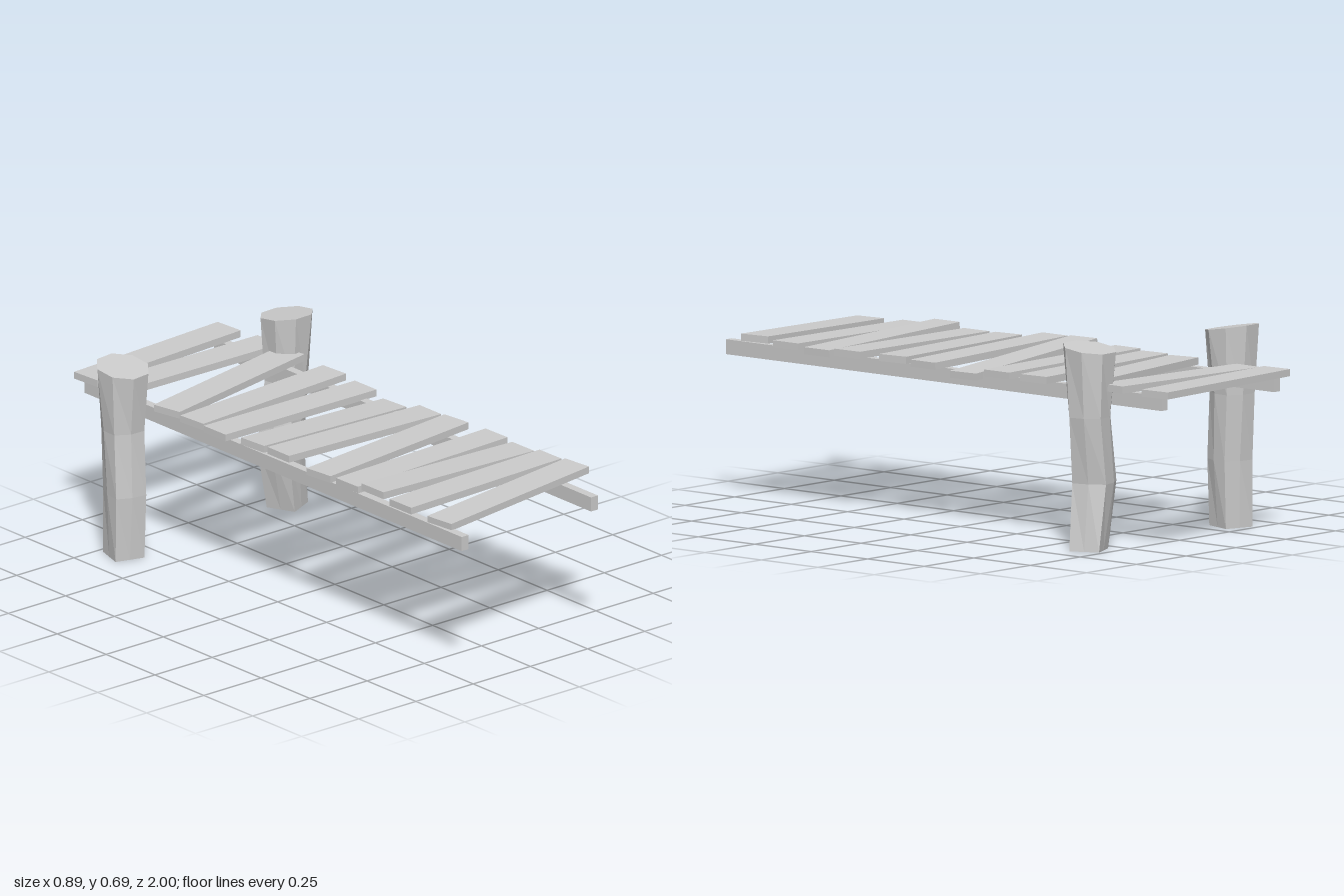
import * as THREE from 'three';

const material = new THREE.MeshStandardMaterial({ color: 0xcccccc, flatShading: true });

function box(name, w, h, d, x, y, z) {
  const mesh = new THREE.Mesh(new THREE.BoxGeometry(w, h, d), material);
  mesh.name = name;
  mesh.position.set(x, y, z);
  return mesh;
}

// Rough-hewn post: square foot blending into an eight-sided top.
// rings: [y, centre x, centre z, radius, squareness], from the foot up
function post(name, rings, phase, topTilt) {
  const geo = new THREE.CylinderGeometry(1, 1, 3, 8, 3);
  const p = geo.attributes.position;
  const quarter = Math.PI / 2;
  for (let i = 0; i < p.count; i++) {
    const level = Math.round(p.getY(i) + 1.5);
    const [y, cx, cz, radius, square] = rings[level];
    const x = p.getX(i), z = p.getZ(i);
    const off = Math.round(Math.atan2(x, z) / (Math.PI / 4)) * (Math.PI / 4);
    const a = off + phase;
    const within = ((off % quarter) + quarter) % quarter;
    const squareR = Math.SQRT1_2 / Math.cos(within - quarter / 2);
    const r = Math.hypot(x, z) * radius * (1 + (squareR - 1) * square);
    const dx = Math.cos(a) * r, dz = Math.sin(a) * r;
    p.setXYZ(i, cx + dx, y + (level === 3 ? dz * topTilt : 0), cz + dz);
  }
  // cos/sin placement reverses the turning direction, so flip the faces
  const idx = geo.index;
  for (let i = 0; i < idx.count; i += 3) {
    const b = idx.getX(i + 1);
    idx.setX(i + 1, idx.getX(i + 2));
    idx.setX(i + 2, b);
  }
  geo.computeVertexNormals();
  const mesh = new THREE.Mesh(geo, material);
  mesh.name = name;
  return mesh;
}

export function createModel() {
  const model = new THREE.Group();
  model.name = 'jetty';

  // Two long rails under the deck
  model.add(box('leftRail', 0.03, 0.05, 1.93, 0.28, 0.51, 0.035));
  model.add(box('rightRail', 0.03, 0.05, 1.93, -0.285, 0.51, 0.035));

  // Crooked planks: [x, z, yaw, roll, height]
  const planks = [
    [0.01, -0.92, 0.064, 0, 0.547],
    [0.02, -0.767, -0.035, 0.01, 0.547],
    [0.016, -0.56, 0.19, 0.01, 0.55],
    [0.016, -0.386, 0.07, 0, 0.547],
    [0.005, -0.235, 0.008, -0.01, 0.547],
    [0.005, -0.064, 0.072, -0.06, 0.545],
    [0.016, 0.08, 0, -0.025, 0.555],
    [0.02, 0.246, 0.104, 0.01, 0.55],
    [0.032, 0.407, 0.02, 0.01, 0.55],
    [0.032, 0.54, 0.012, -0.03, 0.555],
    [0.037, 0.675, 0.016, 0.01, 0.552],
    [0.04, 0.84, 0.104, 0.03, 0.555],
  ];
  const deck = new THREE.Group();
  deck.name = 'deck';
  planks.forEach(([x, z, yaw, roll, y]) => {
    const plank = box('plank', 0.665, 0.024, 0.11, x, y, z);
    plank.rotation.set(0, yaw, roll);
    deck.add(plank);
  });
  model.add(deck);

  // Posts either side near the back end
  model.add(post('rightPost', [
    [0, -0.355, -0.665, 0.074, 1],
    [0.225, -0.355, -0.66, 0.077, 0.6],
    [0.45, -0.355, -0.67, 0.077, 0.35],
    [0.67, -0.358, -0.667, 0.092, 0],
  ], 1.08, -0.16));
  model.add(post('leftPost', [
    [0, 0.36, -0.665, 0.073, 1],
    [0.225, 0.326, -0.66, 0.083, 0.6],
    [0.45, 0.36, -0.67, 0.077, 0.35],
    [0.68, 0.358, -0.667, 0.092, 0],
  ], 1.93, 0.14));

  return model;
}
